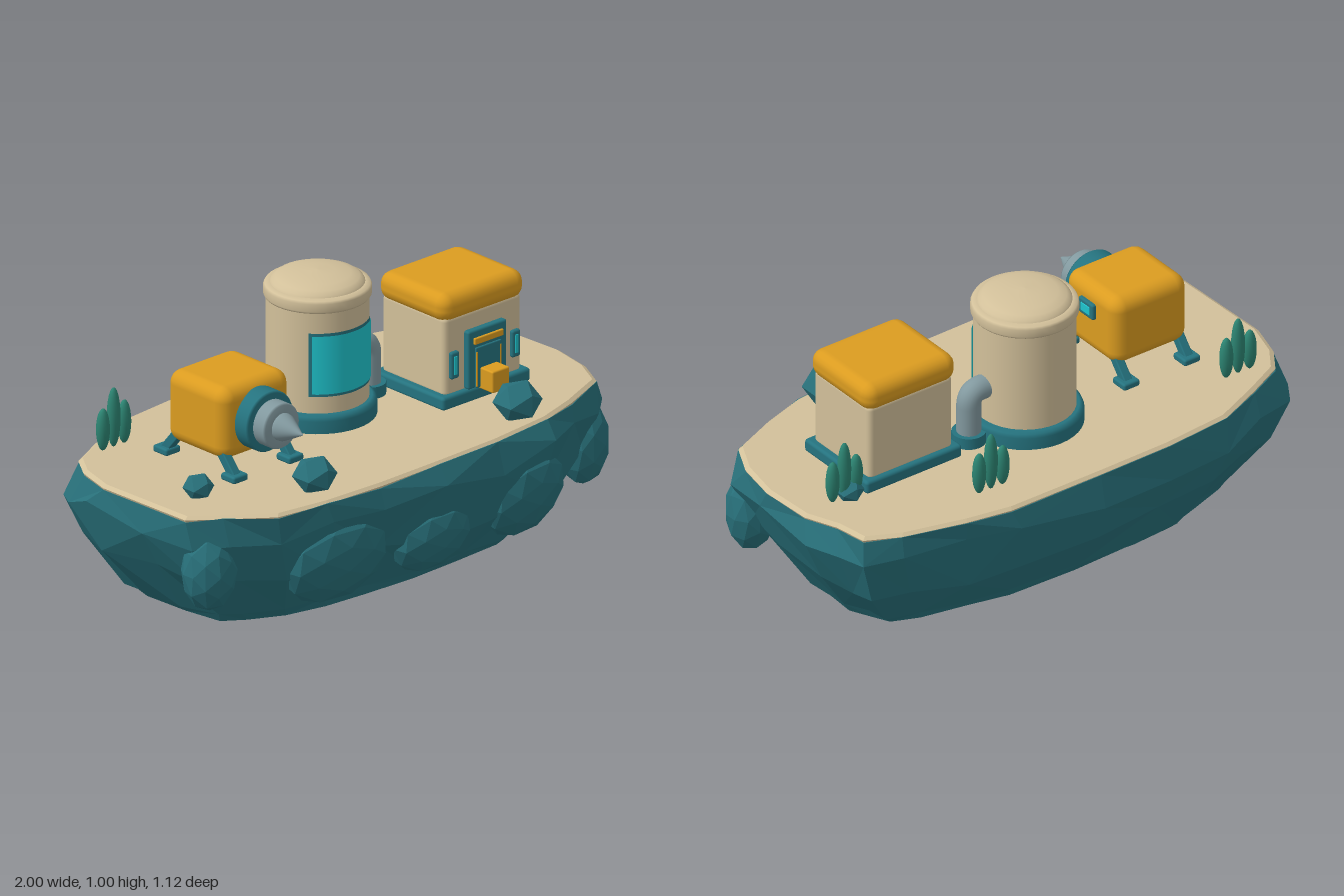
import * as THREE from 'three';
import { RoundedBoxGeometry } from 'three/addons/geometries/RoundedBoxGeometry.js';

const material = (name, color, extra = {}) => {
  const m = new THREE.MeshStandardMaterial({ color, ...extra });
  m.name = name;
  return m;
};

export function createModel() {
  const rock = material('rock teal', 0x28707a, { flatShading: true });
  const trim = material('trim teal', 0x25737f);
  const sand = material('sand', 0xd2c09a);
  const wall = material('wall cream', 0xd2c09a);
  const orange = material('orange', 0xdb9c20);
  const glass = material('cyan glass', 0x1fc4cd, { side: THREE.DoubleSide });
  const metal = material('grey metal', 0x82999f);
  const green = material('plant green', 0x2c8472);

  const model = new THREE.Group();
  model.name = 'islandBase';
  let seed = 7;
  const rand = () => (seed = (seed * 16807) % 2147483647) / 2147483647 - 0.5;

  const add = (parent, name, geo, mat, x = 0, y = 0, z = 0) => {
    const mesh = new THREE.Mesh(geo, mat);
    mesh.name = name;
    mesh.position.set(x, y, z);
    parent.add(mesh);
    return mesh;
  };
  const group = (name, x, y, z) => {
    const g = new THREE.Group();
    g.name = name;
    g.position.set(x, y, z);
    model.add(g);
    return g;
  };
  const box = (p, name, mat, w, h, d, x, y, z, r = 0.008, s = 2) =>
    add(p, name, new RoundedBoxGeometry(w, h, d, s, r), mat, x, y, z);
  const lathe = (p, name, mat, pts, x = 0, y = 0, z = 0) =>
    add(p, name, new THREE.LatheGeometry(pts.map(a => new THREE.Vector2(...a)), 40), mat, x, y, z);

  // Closed solid through rings of points, with caps at both ends
  const loft = rings => {
    const pos = [];
    const n = rings[0].length;
    const centre = r => [0, r.reduce((s, p) => s + p[1], 0) / n, 0];
    const last = rings[rings.length - 1];
    const c0 = centre(rings[0]), c1 = centre(last);
    for (let i = 0; i < n; i++) {
      const j = (i + 1) % n;
      for (let k = 0; k + 1 < rings.length; k++) {
        const a = rings[k][i], b = rings[k + 1][i], c = rings[k + 1][j], d = rings[k][j];
        if ((i + k) % 3) pos.push(...a, ...b, ...c, ...a, ...c, ...d);
        else pos.push(...a, ...b, ...d, ...b, ...c, ...d);
      }
      pos.push(...c0, ...rings[0][i], ...rings[0][j], ...c1, ...last[j], ...last[i]);
    }
    const g = new THREE.BufferGeometry();
    g.setAttribute('position', new THREE.Float32BufferAttribute(pos, 3));
    g.computeVertexNormals();
    return g;
  };

  // Island: widest rock outline and the sand outline, both as x, z pairs
  const rim = [[-1, -0.19], [-0.97, -0.31], [-0.92, -0.39], [-0.74, -0.46], [-0.55, -0.53], [-0.3, -0.545],
    [0, -0.56], [0.35, -0.55], [0.55, -0.5], [0.78, -0.45], [0.91, -0.39], [0.95, -0.3], [1, -0.18],
    [0.985, 0.1], [0.96, 0.3], [0.88, 0.37], [0.7, 0.44], [0.54, 0.52], [0.28, 0.54], [0, 0.555],
    [-0.28, 0.54], [-0.5, 0.52], [-0.7, 0.47], [-0.86, 0.38], [-0.96, 0.3], [-0.99, 0.08]];
  const beach = [[-0.98, -0.12], [-0.94, -0.26], [-0.88, -0.35], [-0.74, -0.42], [-0.56, -0.5], [-0.3, -0.525],
    [0, -0.53], [0.38, -0.53], [0.55, -0.5], [0.78, -0.44], [0.9, -0.38], [0.92, -0.26], [0.97, -0.14],
    [0.98, 0.06], [0.95, 0.22], [0.89, 0.34], [0.7, 0.42], [0.54, 0.47], [0.28, 0.5], [0, 0.51],
    [-0.28, 0.515], [-0.52, 0.505], [-0.72, 0.475], [-0.87, 0.36], [-0.97, 0.28], [-0.975, 0.08]];
  const ring = (pts, sx, sz, y, jy = 0, j = 0) =>
    pts.map(([x, z]) => [x * (sx + rand() * j), y + rand() * jy, z * (sz + rand() * j)]);
  add(model, 'rockIsland', loft([
    ring(rim, 0.77, 0.68, 0), ring(rim, 0.8, 0.72, 0.03, 0.025, 0.03),
    ring(rim, 0.93, 0.92, 0.2, 0.07, 0.03), ring(rim, 1, 1, 0.37, 0.07),
    ring(beach, 1.005, 1.01, 0.462, 0.012)]), rock);
  add(model, 'sandTop', loft([
    ring(beach, 1, 1, 0.452), ring(beach, 1.006, 1.006, 0.465), ring(beach, 0.99, 0.985, 0.475)]), sand);

  // Boulders set into the front cliff: x, y, z, half sizes, yaw
  [[-0.43, 0.22, 0.45, 0.22, 0.17, 0.085, -0.08], [0, 0.185, 0.465, 0.175, 0.13, 0.08, 0],
    [0.45, 0.21, 0.45, 0.185, 0.16, 0.085, 0.08], [0.87, 0.24, 0.3, 0.1, 0.16, 0.09, 0.3],
    [-0.88, 0.26, 0.3, 0.1, 0.15, 0.09, -0.3]].forEach(([x, y, z, a, b, c, yaw]) => {
    const m = add(model, 'cliffBoulder', new THREE.IcosahedronGeometry(1, 1), rock, x, y, z);
    m.scale.set(a, b, c);
    m.rotation.set(Math.abs(x) > 0.8 ? 0 : 0.25, yaw, 0);
  });

  // Small faceted stones on the sand
  [[-0.475, 0.395, 0.08], [0.47, 0.4, 0.088], [-0.81, 0.17, 0.056], [0.785, -0.145, 0.052]].forEach(([x, z, r]) => {
    const m = add(model, 'stone', new THREE.IcosahedronGeometry(r, 0), rock, x, 0.47 + r * 0.72, z);
    m.scale.y = 0.85;
  });

  // Plants in rows of three
  [[-0.745, -0.325], [0.375, -0.405], [0.81, -0.148]].forEach(([x, z]) => {
    [[-0.05, 0.155], [0, 0.22], [0.05, 0.16]].forEach(([dx, h]) => {
      const m = add(model, 'plant', new THREE.SphereGeometry(1, 16, 12), green, x + dx, 0.488 + h / 2, z);
      m.scale.set(0.026, h / 2, 0.022);
    });
  });

  // Storage tank
  const tank = group('tank', 0, 0, -0.1);
  lathe(tank, 'tankBase', trim, [[0, 0.465], [0.205, 0.465], [0.205, 0.465], [0.205, 0.52], [0.2, 0.534], [0.188, 0.54], [0, 0.54]]);
  add(tank, 'tankBody', new THREE.CylinderGeometry(0.178, 0.178, 0.4, 40), wall, 0, 0.73, 0);
  lathe(tank, 'tankRim', wall, [[0.17, 0.91], [0.182, 0.912], [0.187, 0.92], [0.187, 0.948], [0.182, 0.957], [0.165, 0.962], [0, 0.962]]);
  lathe(tank, 'tankDome', wall, [[0.166, 0.958], [0.16, 0.97], [0.145, 0.981], [0.115, 0.992], [0.06, 1.0], [0, 1.003]]);
  const panel = (name, mat, r, h, a) => add(tank, name,
    new THREE.CylinderGeometry(r, r, h, 24, 1, true, -a, 2 * a), mat, 0, 0.72, 0);
  panel('windowFrame', trim, 0.1805, 0.235, 0.92);
  panel('tankWindow', glass, 0.183, 0.215, 0.85);

  // Elbow pipe from tank to ground
  const path = new THREE.CurvePath();
  const v = (x, y) => new THREE.Vector3(x, y, -0.1);
  path.add(new THREE.LineCurve3(v(0.15, 0.672), v(0.19, 0.672)));
  path.add(new THREE.QuadraticBezierCurve3(v(0.19, 0.672), v(0.24, 0.672), v(0.24, 0.62)));
  path.add(new THREE.LineCurve3(v(0.24, 0.62), v(0.24, 0.48)));
  add(model, 'pipe', new THREE.TubeGeometry(path, 36, 0.043, 20), metal);
  add(model, 'pipeFlange', new THREE.CylinderGeometry(0.06, 0.06, 0.045, 28), trim, 0.24, 0.495, -0.1);

  // House
  const house = group('house', 0.52, 0, 0.015);
  box(house, 'houseBase', trim, 0.41, 0.05, 0.36, 0, 0.495, 0, 0.012);
  box(house, 'houseWalls', wall, 0.36, 0.3, 0.32, 0, 0.655, 0, 0.02);
  box(house, 'houseRoof', orange, 0.39, 0.105, 0.345, 0, 0.834, 0, 0.045);
  box(house, 'doorFrame', trim, 0.18, 0.215, 0.03, 0, 0.627, 0.168);
  box(house, 'door', trim, 0.12, 0.15, 0.012, 0, 0.595, 0.183, 0.004);
  box(house, 'doorLintel', orange, 0.135, 0.024, 0.012, 0, 0.695, 0.186, 0.004);
  for (const s of [-1, 1]) {
    box(house, 'doorPost', orange, 0.008, 0.13, 0.006, s * 0.055, 0.59, 0.187, 0.002);
    box(house, 'sideWindowFrame', trim, 0.038, 0.1, 0.02, s * 0.143, 0.625, 0.165);
    box(house, 'sideWindow', glass, 0.016, 0.07, 0.008, s * 0.143, 0.625, 0.173, 0.003);
  }
  box(house, 'doorStep', orange, 0.08, 0.08, 0.075, 0, 0.553, 0.213, 0.006);

  // Drill machine
  const drill = group('drillMachine', -0.52, 0, 0.01);
  box(drill, 'drillBody', orange, 0.32, 0.265, 0.3, 0, 0.683, 0, 0.05, 3);
  const bit = (name, mat, pts) => {
    lathe(drill, name, mat, pts, 0, 0.683, 0).rotation.x = Math.PI / 2;
  };
  bit('drillCollar', trim, [[0, 0.12], [0.104, 0.12], [0.11, 0.13], [0.11, 0.205], [0.104, 0.213], [0, 0.213]]);
  bit('drillChuck', metal, [[0.083, 0.2], [0.083, 0.262], [0.078, 0.27], [0.05, 0.271], [0, 0.271]]);
  bit('drillTip', metal, [[0.05, 0.268], [0.048, 0.285], [0.025, 0.33], [0.001, 0.375]]);
  for (const sx of [-1, 1]) for (const sz of [-1, 1]) {
    box(drill, 'foot', trim, 0.068, 0.026, 0.07, sx * 0.13, 0.505, sz * 0.17);
    const leg = box(drill, 'leg', trim, 0.034, 0.12, 0.034, sx * 0.13, 0.55, sz * 0.135, 0.005);
    leg.rotation.x = -sz * 0.7;
  }
  box(drill, 'portFrame', trim, 0.024, 0.062, 0.084, 0.162, 0.728, 0.005);
  box(drill, 'port', glass, 0.008, 0.034, 0.05, 0.172, 0.728, 0.005, 0.003);

  return model;
}
